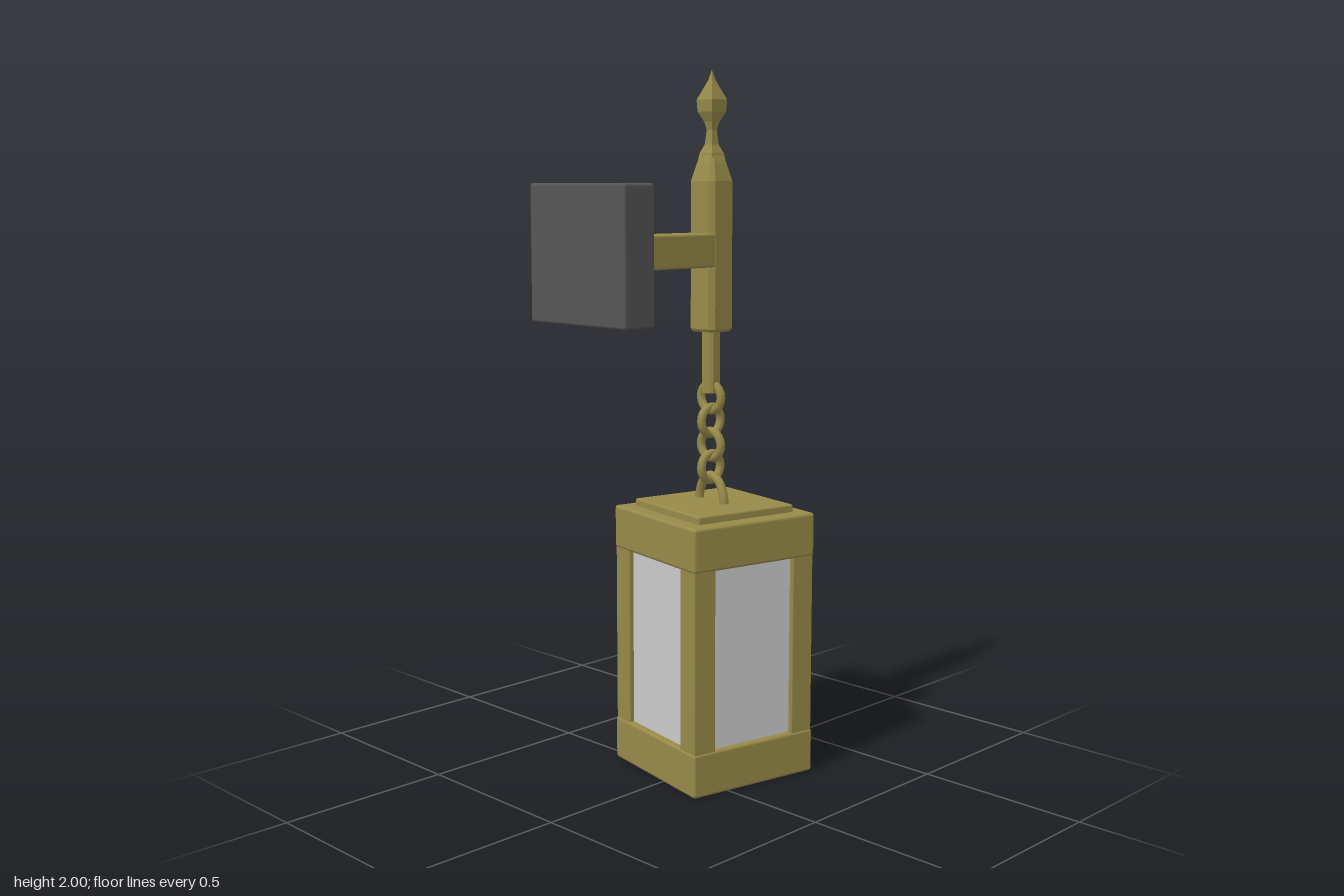
import * as THREE from 'three';
import { RoundedBoxGeometry } from 'three/addons/geometries/RoundedBoxGeometry.js';

const brass = new THREE.MeshStandardMaterial({ color: 0x978a49 });
const brassFlat = new THREE.MeshStandardMaterial({ color: 0x978a49, flatShading: true });
const iron = new THREE.MeshStandardMaterial({ color: 0x565656 });
const glass = new THREE.MeshStandardMaterial({ color: 0xcccccc });

const AX = 0.13, AZ = -0.016; // hanging axis

function add(parent, name, geometry, material, x, y, z) {
  const mesh = new THREE.Mesh(geometry, material);
  mesh.name = name;
  mesh.position.set(x, y, z);
  parent.add(mesh);
  return mesh;
}

// Box with softened edges
const softBox = (w, h, d, r) => new RoundedBoxGeometry(w, h, d, 2, r);

// Square bar with chamfered corners, lofted through [y, halfWidth, chamfer] sections
function chamferedBar(sections) {
  const pos = [], index = [];
  for (const [y, h, c] of sections) {
    const k = h - c;
    for (const [x, z] of [[h, k], [k, h], [-k, h], [-h, k], [-h, -k], [-k, -h], [k, -h], [h, -k]]) pos.push(x, y, z);
  }
  const last = (sections.length - 1) * 8;
  for (let s = 0; s < last; s += 8) {
    for (let i = 0; i < 8; i++) {
      const a = s + i, b = s + (i + 1) % 8;
      index.push(a, a + 8, b, b, a + 8, b + 8);
    }
  }
  for (let i = 1; i < 7; i++) {
    index.push(0, i, i + 1, last, last + i + 1, last + i);
  }
  const g = new THREE.BufferGeometry();
  g.setAttribute('position', new THREE.Float32BufferAttribute(pos, 3));
  g.setIndex(index);
  const flat = g.toNonIndexed();
  flat.computeVertexNormals();
  return flat;
}

function buildWallMount() {
  const mount = new THREE.Group();
  mount.name = 'wallMount';
  const y = 1.505, z = -0.024;
  add(mount, 'wallBlock', softBox(0.108, 0.37, 0.37, 0.008), iron, -0.316, y, z);
  add(mount, 'mountingPlate', softBox(0.022, 0.28, 0.278, 0.004), brass, -0.26, y, z);
  // Screws at the plate corners
  for (const sy of [-1, 1]) {
    for (const sz of [-1, 1]) {
      const head = add(mount, 'screw', new THREE.SphereGeometry(0.02, 12, 8), iron, -0.24, y + sy * 0.115, z + sz * 0.112);
      head.scale.x = 0.5;
      const shank = add(mount, 'screwShank', new THREE.CylinderGeometry(0.01, 0.01, 0.02, 10), iron, -0.248, y + sy * 0.115, z + sz * 0.112);
      shank.rotation.z = Math.PI / 2;
    }
  }
  add(mount, 'arm', softBox(0.36, 0.094, 0.1, 0.007), brass, -0.08, y, -0.018);
  return mount;
}

function buildPost() {
  const post = new THREE.Group();
  post.name = 'post';
  post.position.set(AX, 0, AZ);
  add(post, 'postBody', chamferedBar([
    [1.276, 0.043, 0.012], [1.284, 0.048, 0.014], [1.695, 0.048, 0.014],
    [1.745, 0.034, 0.01], [1.765, 0.026, 0.006],
  ]), brassFlat, 0, 0, 0);
  add(post, 'lowerRod', chamferedBar([[1.1, 0.022, 0.008], [1.29, 0.022, 0.008]]), brassFlat, 0, 0, 0);
  // Four-sided finial; profile holds [half width, y]
  const profile = [
    [0.027, 1.755], [0.024, 1.772], [0.014, 1.795], [0.01, 1.835], [0.015, 1.858],
    [0.028, 1.885], [0.03, 1.918], [0.016, 1.95], [0.007, 1.972], [0, 2],
  ].map(([h, y]) => new THREE.Vector2(h * Math.SQRT2, y));
  add(post, 'finial', new THREE.LatheGeometry(profile, 4, Math.PI / 4), brassFlat, 0, 0, 0);
  return post;
}

function buildChain() {
  const chain = new THREE.Group();
  chain.name = 'chain';
  chain.position.set(AX, 0, AZ);
  // Links alternate between facing sideways and facing front
  [1.087, 1.02, 0.95, 0.885].forEach((y, i) => {
    const link = add(chain, 'chainLink', new THREE.TorusGeometry(0.039, 0.0125, 8, 20), brass, 0, y, 0);
    link.rotation.y = i % 2 ? 0 : Math.PI / 2;
  });
  return chain;
}

function buildLantern() {
  const lantern = new THREE.Group();
  lantern.name = 'lantern';
  lantern.position.set(0.126, 0, -0.001);
  lantern.rotation.y = -0.2;
  const W = 0.414;
  add(lantern, 'bottomFrame', softBox(W, 0.127, W, 0.009), brass, 0, 0.0635, 0);
  add(lantern, 'topFrame', softBox(W, 0.125, W, 0.009), brass, 0, 0.7025, 0);
  add(lantern, 'topCap', softBox(0.326, 0.03, 0.326, 0.006), brass, 0, 0.772, 0);
  add(lantern, 'glassPanes', new THREE.BoxGeometry(W - 0.035, 0.54, W - 0.035), glass, 0, 0.383, 0);
  // Corner posts
  const p = W / 2 - 0.0385;
  for (const sx of [-1, 1]) {
    for (const sz of [-1, 1]) {
      add(lantern, 'cornerPost', softBox(0.071, 0.55, 0.071, 0.004), brass, sx * p, 0.383, sz * p);
    }
  }
  // Arched hanging loop through the last link
  const arch = new THREE.CatmullRomCurve3([
    [-0.064, 0.77], [-0.058, 0.81], [-0.036, 0.846], [0, 0.86],
    [0.036, 0.846], [0.058, 0.81], [0.064, 0.77],
  ].map(([z, y]) => new THREE.Vector3(0, y, z)));
  add(lantern, 'hangingLoop', new THREE.TubeGeometry(arch, 24, 0.013, 8), brass, 0.004, 0, -0.015);
  return lantern;
}

export function createModel() {
  const model = new THREE.Group();
  model.name = 'hangingWallLantern';
  model.add(buildWallMount(), buildPost(), buildChain(), buildLantern());
  return model;
}
